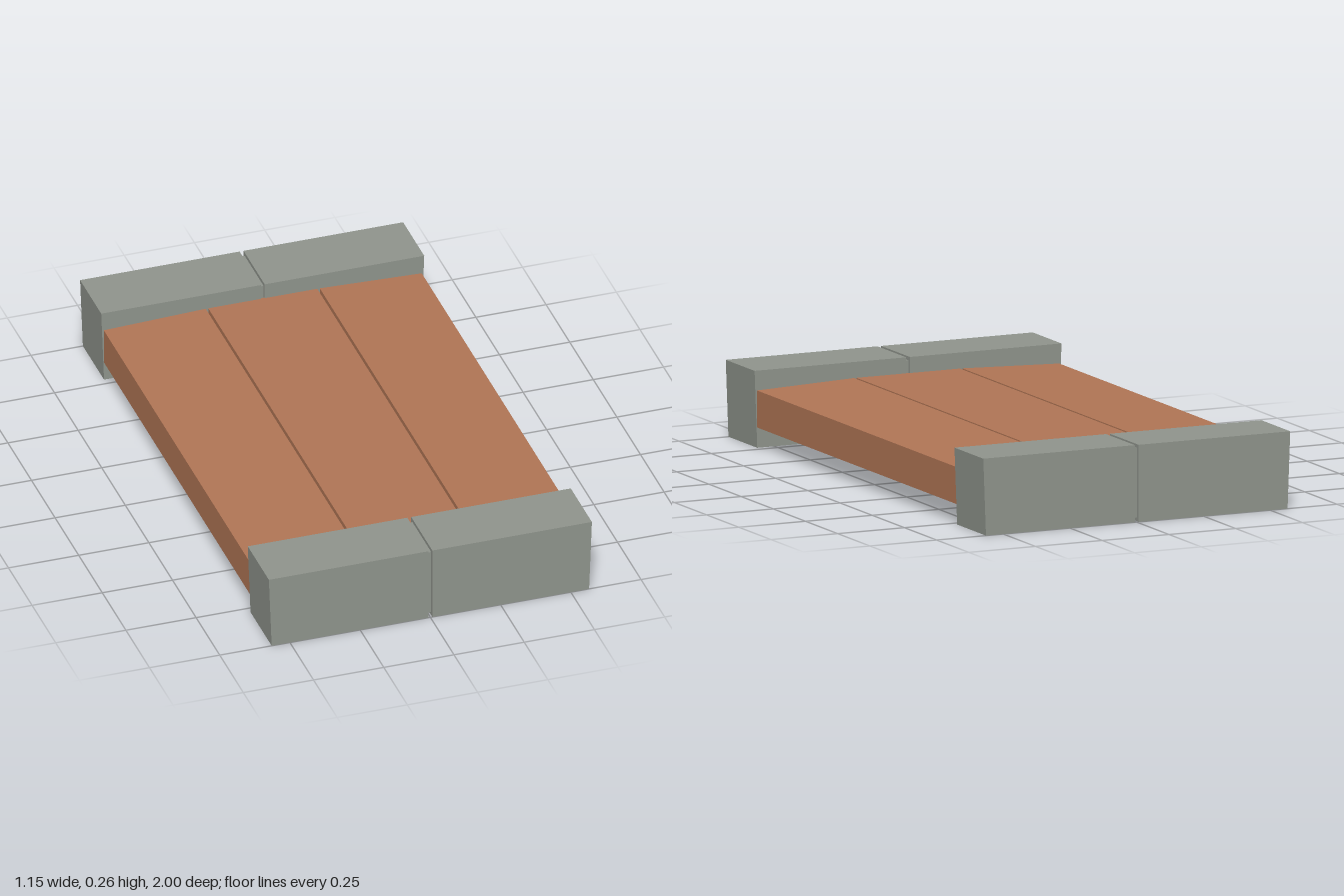
import * as THREE from 'three';

const stone = new THREE.MeshStandardMaterial({ color: 0x8f948c });
stone.name = 'grey stone';
const wood = new THREE.MeshStandardMaterial({ color: 0xb07555 });
wood.name = 'brown wood';

// Extrudes an x/y outline from z0 to z1
function prism(name, points, z0, z1, material) {
  const shape = new THREE.Shape(points.map(([x, y]) => new THREE.Vector2(x, y)));
  const geometry = new THREE.ExtrudeGeometry(shape, { depth: z1 - z0, bevelEnabled: false });
  geometry.translate(0, 0, z0);
  const mesh = new THREE.Mesh(geometry, material);
  mesh.name = name;
  return mesh;
}

export function createModel() {
  const model = new THREE.Group();
  model.name = 'plankBridge';

  // Deck: level middle plank, outer planks sloping down to the sides
  const deckEnd = 0.78;
  const bottom = 0.07, crown = 0.21, edge = 0.197;
  model.add(prism('middlePlank',
    [[-0.194, bottom], [0.194, bottom], [0.194, crown], [-0.194, crown]],
    -deckEnd, deckEnd, wood));
  for (const side of [-1, 1]) {
    model.add(prism(side > 0 ? 'leftPlank' : 'rightPlank',
      [[0.203, bottom], [0.566, bottom], [0.566, edge], [0.203, crown]].map(([x, y]) => [x * side, y]),
      -deckEnd, deckEnd, wood));
  }

  // End sills: two blocks with slanted outer sides and a recessed joint
  for (const end of [-1, 1]) {
    const sill = new THREE.Group();
    sill.name = end > 0 ? 'frontSill' : 'backSill';
    const z0 = end > 0 ? 0.776 : -1;
    const z1 = end > 0 ? 1 : -0.776;
    for (const side of [-1, 1]) {
      sill.add(prism(side > 0 ? 'leftBlock' : 'rightBlock',
        [[0.007, 0], [0.565, 0], [0.575, 0.265], [0.007, 0.265]].map(([x, y]) => [x * side, y]),
        z0, z1, stone));
    }
    sill.add(prism('joint',
      [[-0.007, 0.013], [0.007, 0.013], [0.007, 0.252], [-0.007, 0.252]],
      z0 + 0.012, z1 - 0.012, stone));
    model.add(sill);
  }
  return model;
}
